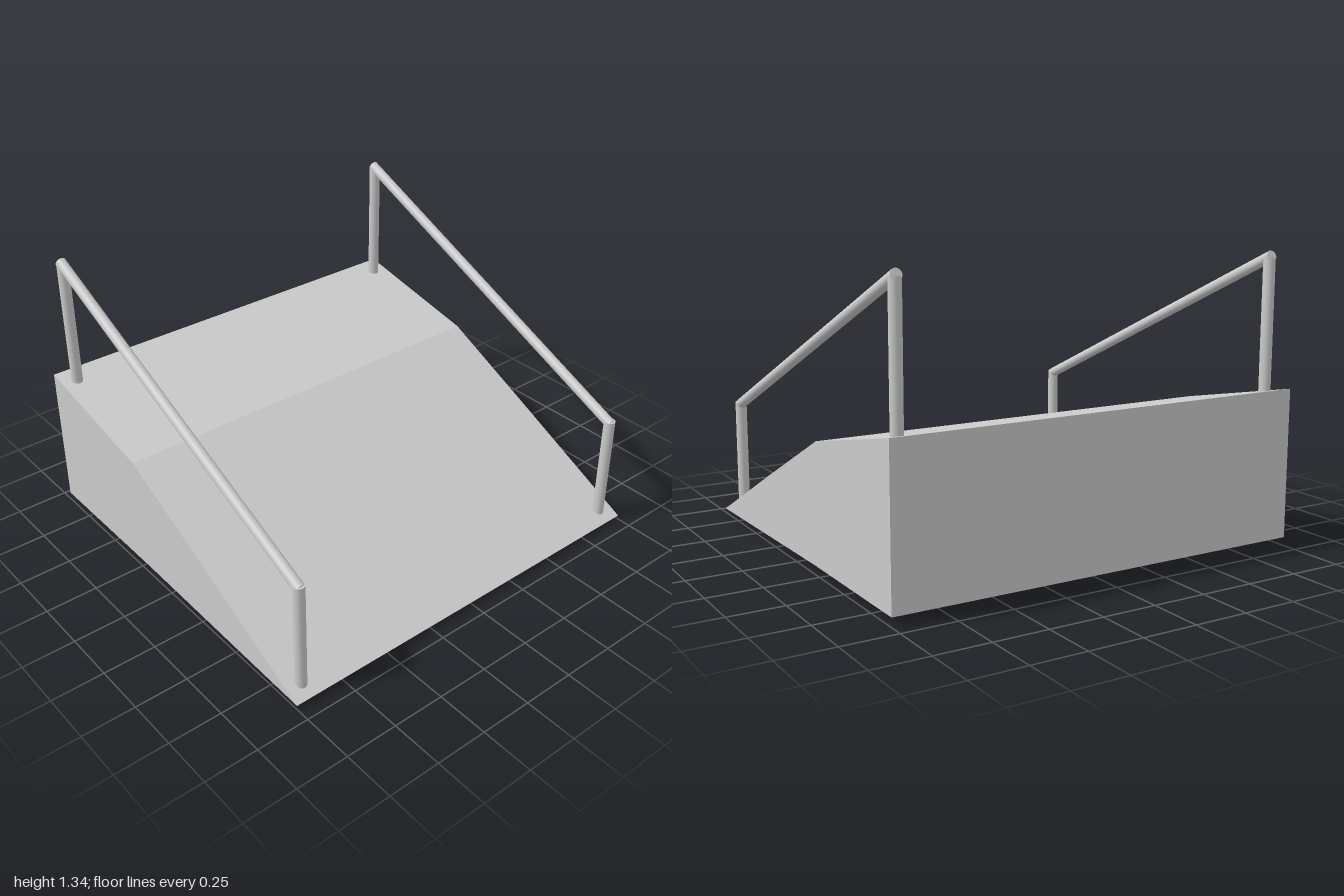
import * as THREE from 'three';

const material = new THREE.MeshStandardMaterial({ color: 0xcccccc });

// Round bar between two points
function bar(name, from, to, radius) {
  const dir = to.clone().sub(from);
  const mesh = new THREE.Mesh(new THREE.CylinderGeometry(radius, radius, dir.length(), 24), material);
  mesh.name = name;
  mesh.position.copy(from).add(to).multiplyScalar(0.5);
  mesh.quaternion.setFromUnitVectors(new THREE.Vector3(0, 1, 0), dir.normalize());
  return mesh;
}

// Handrail: two posts and a sloping rail, on one side of the ramp
function handrail(name, x) {
  const p = (y, z) => new THREE.Vector3(x, y, z);
  const group = new THREE.Group();
  group.name = name;
  group.add(
    bar('frontPost', p(0, 0.86), p(0.57, 0.86), 0.027),
    bar('rearPost', p(0.68, -0.845), p(1.315, -0.845), 0.027),
    bar('rail', p(0.555, 0.868), p(1.322, -0.859), 0.025)
  );
  return group;
}

export function createModel() {
  const model = new THREE.Group();
  model.name = 'rampWithHandrails';

  // Ramp body: side profile as (z, y), extruded across the width
  const profile = [
    [0.93, 0.02], [0.3, 0.327], [-0.245, 0.588], [-0.93, 0.73],
    [-0.93, 0.04], [-0.2, 0.04],
  ].map(([z, y]) => new THREE.Vector2(z, y));
  const geometry = new THREE.ExtrudeGeometry(new THREE.Shape(profile), { depth: 2, bevelEnabled: false });
  geometry.rotateY(-Math.PI / 2).translate(1, 0, 0);
  const ramp = new THREE.Mesh(geometry, material);
  ramp.name = 'ramp';
  model.add(ramp);

  model.add(handrail('leftHandrail', 0.925), handrail('rightHandrail', -0.925));
  return model;
}
